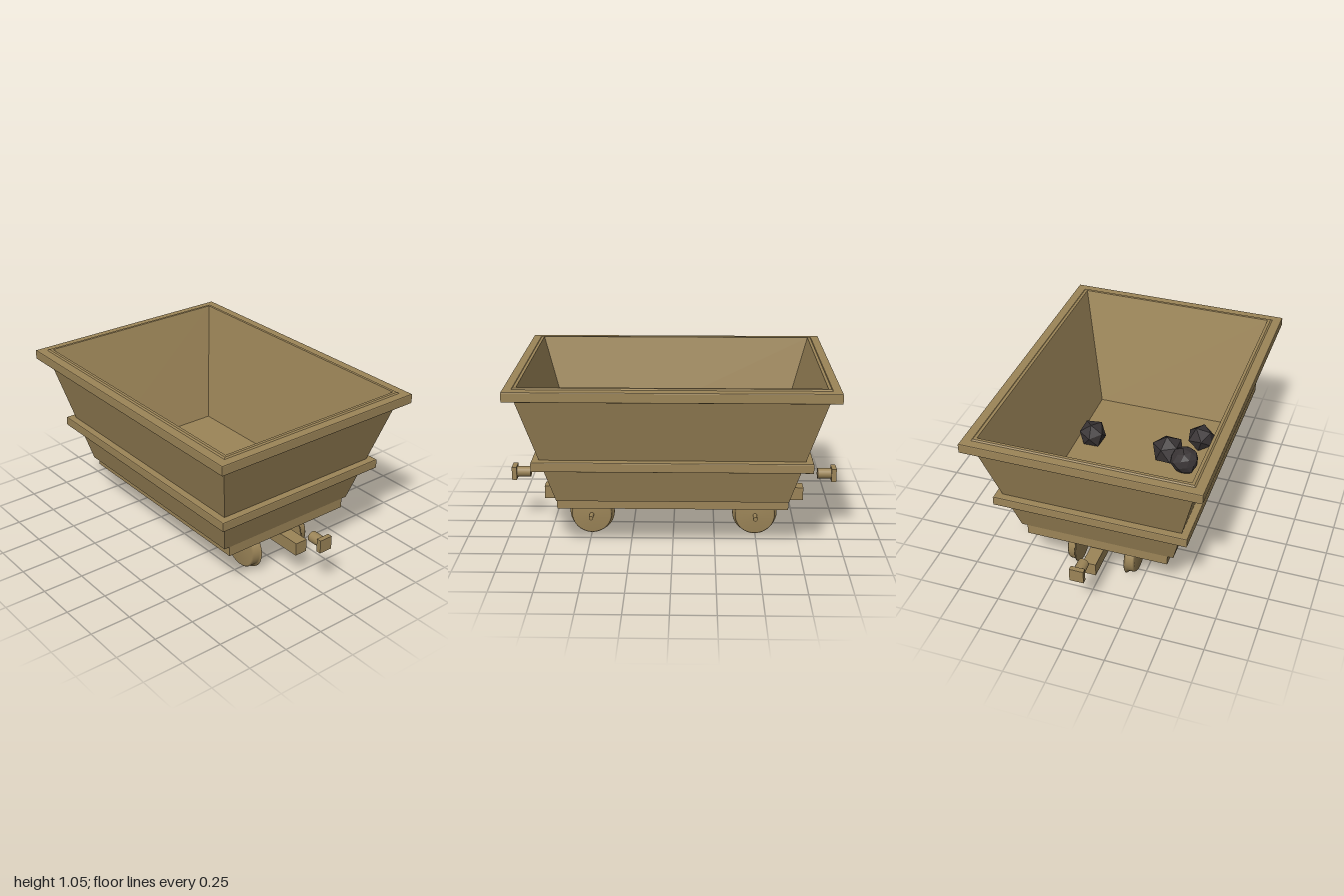
import * as THREE from 'three';

const tan = new THREE.MeshStandardMaterial({ color: 0x9c8558 });
tan.name = 'tanMetal';
const black = new THREE.MeshStandardMaterial({ color: 0x393435 });
black.name = 'coalBlack';

function add(parent, name, geometry, x = 0, y = 0, z = 0, material = tan) {
  const mesh = new THREE.Mesh(geometry, material);
  mesh.name = name;
  mesh.position.set(x, y, z);
  parent.add(mesh);
  return mesh;
}

// Skin rectangular sections [y, halfX, halfZ] with flat faces
function rectangularLoft(sections) {
  const corners = sections.map(([y, x, z]) => [[x, y, z], [x, y, -z], [-x, y, -z], [-x, y, z]]);
  const points = [];
  for (let i = 0; i < sections.length - 1; i++) {
    for (let j = 0; j < 4; j++) {
      const k = (j + 1) % 4, a = corners[i], b = corners[i + 1];
      points.push(...a[j], ...a[k], ...b[k], ...a[j], ...b[k], ...b[j]);
    }
  }
  const g = new THREE.BufferGeometry();
  g.setAttribute('position', new THREE.Float32BufferAttribute(points, 3));
  g.computeVertexNormals();
  return g;
}

// Rectangular hoop with softened edges, lying flat from y = 0 to y = height
function hoop(hx, hz, innerX, innerZ, height) {
  const b = 0.006;
  const rect = (path, x, z) => path.moveTo(-x, -z).lineTo(x, -z).lineTo(x, z).lineTo(-x, z).closePath();
  const shape = rect(new THREE.Shape(), hx - b, hz - b);
  shape.holes.push(rect(new THREE.Path(), innerX + b, innerZ + b));
  const g = new THREE.ExtrudeGeometry(shape, {
    depth: height - 2 * b, bevelSize: b, bevelThickness: b, bevelSegments: 2,
  });
  return g.translate(0, 0, b).rotateX(-Math.PI / 2);
}

// Irregular lump: each distinct corner moves in or out by a repeatable amount
function lump(radius, detail, seed) {
  const g = new THREE.IcosahedronGeometry(radius, detail);
  const p = g.attributes.position, v = new THREE.Vector3();
  for (let i = 0; i < p.count; i++) {
    v.fromBufferAttribute(p, i);
    const n = v.clone().divideScalar(radius);
    v.multiplyScalar(1 + 0.07 * Math.sin(5 * n.x + 7 * n.y + 4 * n.z + seed));
    p.setXYZ(i, v.x, v.y, v.z);
  }
  g.rotateX(seed).rotateY(seed * 1.7);
  g.computeVertexNormals();
  return g;
}

export function createModel() {
  const cart = new THREE.Group();
  cart.name = 'mineCart';

  // Open hopper: outside, bevelled lip, inside and floor
  add(cart, 'hopper', rectangularLoft([
    [0.325, 0, 0], [0.325, 0.465, 0.675], [1.036, 0.64, 0.888], [1.05, 0.622, 0.872],
    [1.05, 0.605, 0.855], [0.35, 0.44, 0.65], [0.35, 0, 0],
  ]));
  add(cart, 'topRim', hoop(0.685, 0.93, 0.62, 0.868, 0.06), 0, 0.983, 0);
  add(cart, 'middleBand', hoop(0.575, 0.8, 0.51, 0.735, 0.058), 0, 0.542, 0);

  // Underframe
  add(cart, 'basePlate', new THREE.BoxGeometry(0.86, 0.06, 1.35), 0, 0.295, 0);
  add(cart, 'centreBeam', new THREE.BoxGeometry(0.08, 0.08, 1.6), 0, 0.214, 0);

  // Flanged wheels on two axles
  const wheelProfile = [
    [0, 0.15], [0.134, 0.15], [0.136, 0.152], [0.134, 0.158], [0.122, 0.16],
    [0.121, 0.2], [0.112, 0.209], [0, 0.212],
  ].map(([r, x]) => new THREE.Vector2(r, x));
  const wheelGeometry = new THREE.LatheGeometry(wheelProfile, 40);
  for (const z of [0.495, -0.495]) {
    const axle = add(cart, 'axle', new THREE.CylinderGeometry(0.013, 0.013, 0.55, 16), 0, 0.138, z);
    axle.rotation.z = Math.PI / 2;
    for (const side of [1, -1]) {
      const wheel = add(cart, side > 0 ? 'leftWheel' : 'rightWheel', wheelGeometry, 0, 0.138, z);
      wheel.rotation.z = -side * Math.PI / 2;
    }
  }

  // Buffers at both ends
  for (const end of [1, -1]) {
    const buffer = new THREE.Group();
    buffer.name = end > 0 ? 'frontBuffer' : 'backBuffer';
    add(buffer, 'bufferStem', new THREE.CylinderGeometry(0.033, 0.033, 0.085, 20).rotateX(Math.PI / 2), 0, 0.336, 0.929);
    add(buffer, 'bufferPlate', new THREE.BoxGeometry(0.084, 0.082, 0.03), 0, 0.336, 0.985);
    if (end < 0) buffer.rotation.y = Math.PI;
    cart.add(buffer);
  }

  // Coal lumps on the floor: x, z, radius, detail
  [
    [-0.33, -0.48, 0.08, 0], [-0.06, -0.325, 0.096, 1], [-0.3, 0.11, 0.088, 1],
    [-0.175, 0.165, 0.1, 0], [0.34, 0.19, 0.088, 0], [-0.335, 0.36, 0.09, 0],
  ].forEach(([x, z, r, detail], i) => {
    add(cart, 'coalLump', lump(r, detail, i * 1.3 + 0.4), x, 0.335 + r * 0.85, z, black);
  });

  return cart;
}
